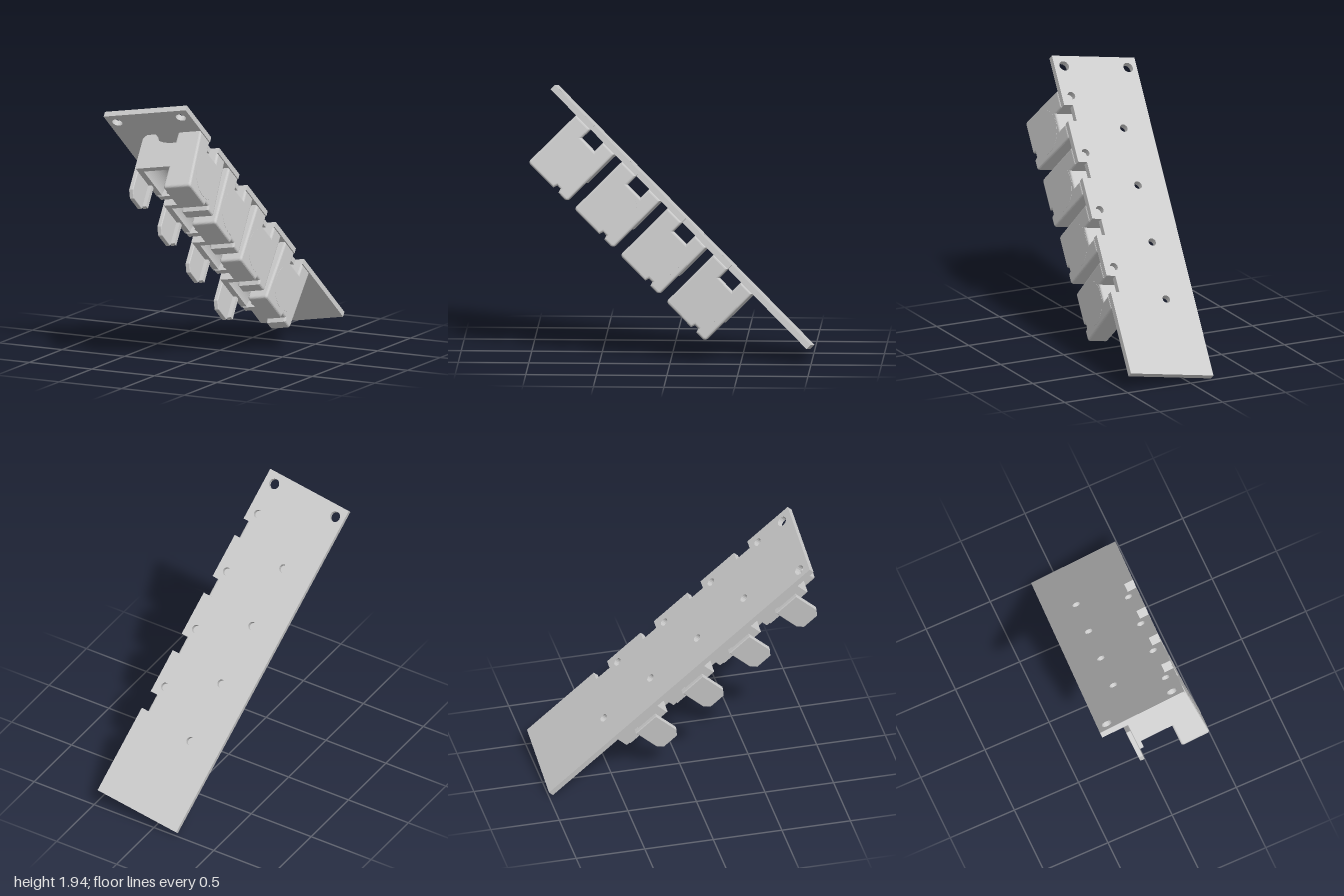
import * as THREE from 'three';

const grey = new THREE.MeshStandardMaterial({ color: 0xcccccc, side: THREE.DoubleSide });
const PITCH = 0.463, FIRST = 0.083;      // module spacing along the plate
const BACK = -0.75, FACE = -0.708;       // plate back and front, local z

function part(name, geometry, parent) {
  const m = new THREE.Mesh(geometry, grey);
  m.name = name;
  parent.add(m);
  return m;
}
function polygon(points) {
  return new THREE.Shape(points.map(([a, b]) => new THREE.Vector2(a, b)));
}
function box(x0, x1, y0, y1, z0, z1) {
  return new THREE.BoxGeometry(x1 - x0, y1 - y0, z1 - z0)
    .translate((x0 + x1) / 2, (y0 + y1) / 2, (z0 + z1) / 2);
}
// Extrudes a (y, z) outline along x from x0 to x1, with rounded ends
function alongX(shape, x0, x1, bevel = 0) {
  const g = new THREE.ExtrudeGeometry(shape, {
    depth: x1 - x0 - 2 * bevel, bevelEnabled: bevel > 0, bevelSize: bevel,
    bevelThickness: bevel, bevelOffset: -bevel, bevelSegments: 3, curveSegments: 12,
  });
  const Y = new THREE.Vector3(0, 1, 0), Z = new THREE.Vector3(0, 0, 1), X = new THREE.Vector3(1, 0, 0);
  return g.applyMatrix4(new THREE.Matrix4().makeBasis(Y, Z, X)).translate(x0 + bevel, 0, 0);
}
// Extrudes an (x, z) outline along y from y0 to y1
function alongY(shape, y0, y1) {
  return new THREE.ExtrudeGeometry(shape, { depth: y1 - y0, bevelEnabled: false, curveSegments: 16 })
    .rotateX(Math.PI / 2).scale(1, -1, 1).scale(1, -1, 1).translate(0, y1, 0);
}

// Long mounting plate with edge notches and screw holes
function makePlate(parent) {
  const x0 = -0.175, x1 = 0.49, y0 = -0.66, y1 = 1.924;
  const outline = [[x0, y0], [x1, y0]];
  const holes = [[-0.104, 1.842, 0.038], [0.411, 1.842, 0.038]];
  for (let k = 0; k < 4; k++) {
    const c = FIRST + k * PITCH;
    outline.push([x1, c - 0.08], [0.42, c - 0.08], [0.42, c + 0.052], [x1, c + 0.052]);
    holes.push([0.053, c - 0.127, 0.03], [0.412, c + 0.128, 0.03]);
  }
  outline.push([x1, y1], [x0, y1]);
  const shape = polygon(outline);
  for (const [x, y, r] of holes) shape.holes.push(new THREE.Path().absarc(x, y, r, 0, Math.PI * 2, true));
  const g = new THREE.ExtrudeGeometry(shape, { depth: FACE - BACK, bevelEnabled: false, curveSegments: 8 });
  part('mountingPlate', g.translate(0, 0, BACK), parent);
}

// One key holder; its outer side leans by "lean" at the far end
function makeModule(lean) {
  const g = new THREE.Group();
  const far = -0.233, half = 0.195;

  // Tall block with tunnel at the plate and groove across the far face
  const r = 0.025;
  const side = new THREE.Shape();
  side.moveTo(-half, FACE);
  side.lineTo(-0.08, FACE);
  side.lineTo(-0.08, -0.62);
  side.lineTo(0.052, -0.62);
  side.lineTo(0.052, FACE);
  side.lineTo(half, FACE);
  side.lineTo(half, far - r);
  side.quadraticCurveTo(half, far, half - r, far);
  side.lineTo(-0.055, far);
  side.lineTo(-0.065, far - 0.03);
  side.lineTo(-0.1, far - 0.03);
  side.lineTo(-0.11, far);
  side.lineTo(r - half, far);
  side.quadraticCurveTo(-half, far, -half, far - r);
  side.closePath();
  const slant = (geo) => {
    const p = geo.attributes.position;
    for (let i = 0; i < p.count; i++) {
      if (p.getX(i) > 0.4) p.setX(i, p.getX(i) + lean * (p.getZ(i) - FACE) / (far - FACE));
    }
    geo.computeVertexNormals();
    return geo;
  };
  part('tallBlock', slant(alongX(side, 0.3, 0.49, 0.015)), g);

  // Round cover flush in the outer side
  const disc = new THREE.CylinderGeometry(0.16, 0.16, 0.01, 48).rotateZ(Math.PI / 2).translate(0.4862, 0, -0.44);
  part('roundCover', slant(disc), g);

  // Upper wall with a shallow curved cut at the plate
  const low = -0.418;
  const wall = new THREE.Shape();
  wall.moveTo(0.025, FACE + 0.03);
  wall.lineTo(0.05, FACE);
  wall.lineTo(0.122, FACE);
  wall.lineTo(0.145, FACE + 0.05);
  wall.quadraticCurveTo(0.23, FACE + 0.1, 0.341, FACE + 0.08);
  wall.lineTo(0.341, low);
  wall.lineTo(0.045, low);
  wall.quadraticCurveTo(0.025, low, 0.025, low - 0.02);
  wall.closePath();
  part('upperWall', alongY(wall, half - 0.04, half), g);

  // Lower wall
  const wall2 = polygon([[0.025, FACE], [0.32, FACE], [0.32, low], [0.045, low], [0.025, low - 0.02]]);
  part('lowerWall', alongY(wall2, -half, -half + 0.04), g);

  // Tray with a round channel between the walls
  const tray = new THREE.Shape();
  tray.moveTo(0.025, -0.61);
  tray.lineTo(0.32, -0.61);
  tray.lineTo(0.32, low - 0.01);
  tray.lineTo(0.29, low - 0.01);
  tray.absellipse(0.18, low - 0.01, 0.11, 0.13, 0, Math.PI, true);
  tray.lineTo(0.025, low - 0.01);
  tray.closePath();
  part('channelTray', alongY(tray, -half + 0.03, half - 0.03), g);

  // Key paddle on the open side, with a foot, and the pin facing it
  const blade = polygon([[-0.06, -0.5], [0.14, -0.5], [0.14, -0.28], [0.1, -0.23], [-0.03, -0.23], [-0.06, -0.28]]);
  part('paddle', alongX(blade, -0.015, 0.02, 0.006), g);
  part('paddleFoot', box(0.01, 0.05, -0.06, -0.03, -0.5, -0.25), g);
  part('pin', box(0.19, 0.31, -0.05, -0.02, -0.39, -0.355), g);
  return g;
}

export function createModel() {
  const model = new THREE.Group();
  model.name = 'keyHolderRack';
  const tilted = new THREE.Group();
  tilted.name = 'tiltedRack';
  tilted.rotation.set(Math.PI / 4, 0, THREE.MathUtils.degToRad(9.5), 'ZYX');
  model.add(tilted);
  makePlate(tilted);
  for (let k = 0; k < 4; k++) {
    const m = makeModule(-0.037 + 0.022 * k);
    m.name = 'keyHolder' + (k + 1);
    m.position.y = FIRST + k * PITCH;
    tilted.add(m);
  }
  return model;
}
